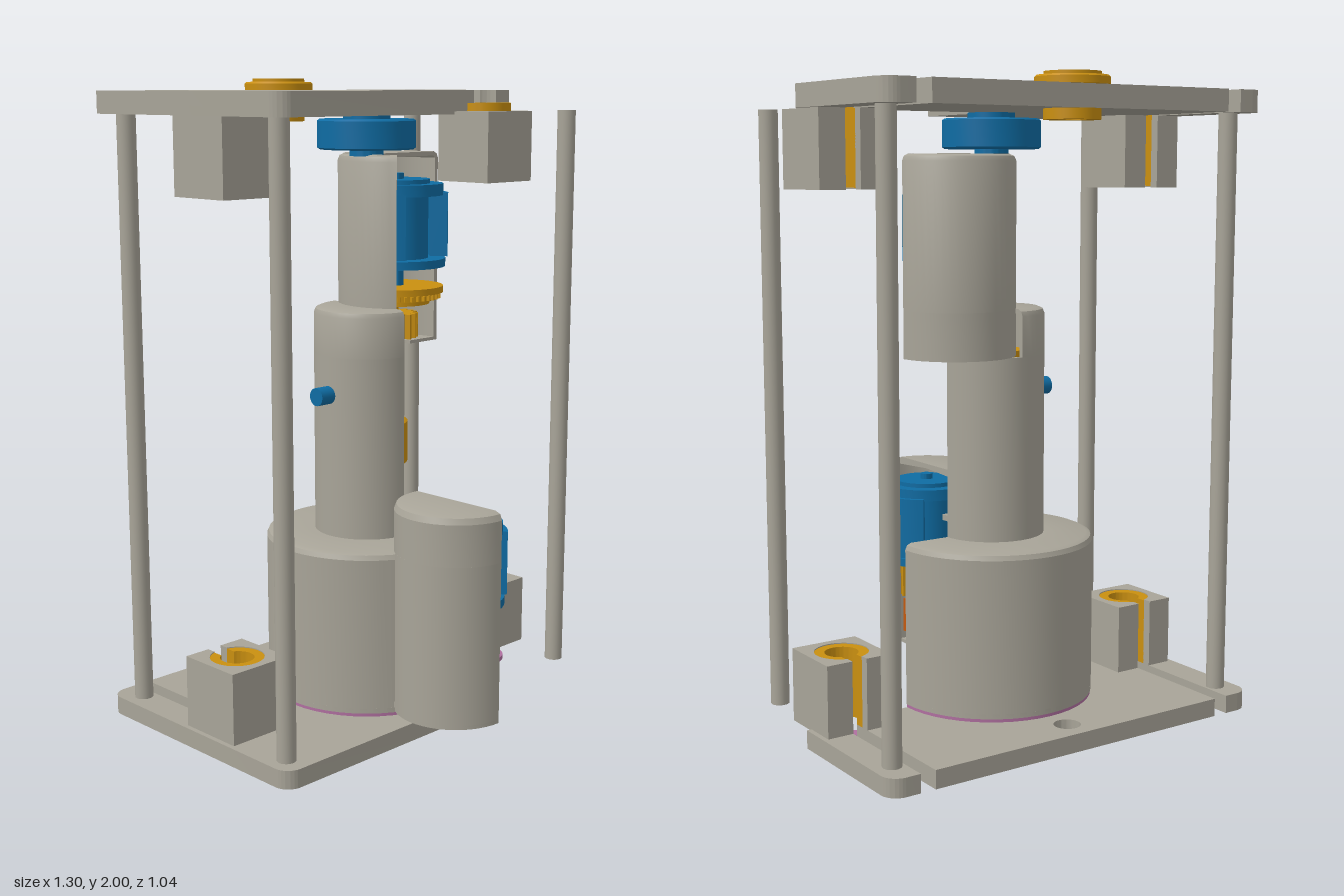
import * as THREE from 'three';
import { toCreasedNormals } from 'three/addons/utils/BufferGeometryUtils.js';

const mat = (color) => new THREE.MeshStandardMaterial({ color, side: THREE.DoubleSide });
const grey = mat(0xa8a498), blue = mat(0x0f6ca3), gold = mat(0xc98f10), orange = mat(0xc2590f), pink = mat(0xb070a0);
const AZ = -0.03; // z of the main axis and of the cutaway plane
const rad = THREE.MathUtils.degToRad;

function add(parent, name, geo, material, x = 0, y = 0, z = 0) {
  const m = new THREE.Mesh(geo, material);
  m.name = name;
  m.position.set(x, y, z);
  parent.add(m);
  return m;
}

// Revolve a closed (radius, height) profile from angle a to b (0 = +z, 90 = +x), closing the cut ends
function turn(parent, name, pts, material, x = 0, z = AZ, a = 0, b = 360) {
  const v = pts.map((p) => new THREE.Vector2(...p));
  const geo = new THREE.LatheGeometry([...v, v[0].clone()], Math.max(8, Math.round((b - a) / 7.5)), rad(a), rad(b - a));
  const g = new THREE.Group();
  g.name = name;
  add(g, name, toCreasedNormals(geo, 0.6), material, x, 0, z);
  if (b - a < 360) for (const end of [a, b])
    add(g, name + 'CutFace', new THREE.ShapeGeometry(new THREE.Shape(v)).rotateY(rad(end - 90)), material, x, 0, z);
  parent.add(g);
  return g;
}
const ring = (r0, r1, y0, y1) => [[r0, y0], [r1, y0], [r1, y1], [r0, y1]];

// Extrude a plan shape, drawn as (x, -z), between two heights
function slab(parent, name, shape, y0, y1, material, x = 0, z = 0) {
  const geo = new THREE.ExtrudeGeometry(shape, { depth: y1 - y0, bevelEnabled: false, curveSegments: 24 }).rotateX(-Math.PI / 2);
  return add(parent, name, toCreasedNormals(geo, 0.5), material, x, y0, z);
}

function gear(parent, name, r, teeth, y0, y1, x, z) {
  const s = new THREE.Shape();
  for (let i = 0; i < teeth * 4; i++) {
    const a = (i + 0.5) / (teeth * 4) * Math.PI * 2, q = i % 4 < 2 ? r : r * 0.84;
    s[i ? 'lineTo' : 'moveTo'](q * Math.cos(a), q * Math.sin(a));
  }
  slab(parent, name, s, y0, y1, gold, x, z);
}

// Plate with two back keyhole slots and the front right quarter left open
function plate(parent, name, y0, y1, bore) {
  const k = 0.49, P = Math.PI, s = new THREE.Shape();
  s.moveTo(0, -0.32);
  if (bore) s.lineTo(0, 0.03 - bore).absarc(0, 0.03, bore, -P / 2, -2 * P, true);
  else s.lineTo(0, 0.035);
  s.lineTo(0.48, 0.035).absarc(0.53, 0.03, 0.05, P, P / 2 + k, true);
  s.lineTo(0.507, 0.5).lineTo(-0.507, 0.5);
  s.absarc(-0.53, 0.03, 0.05, P / 2 - k, k - 1.5 * P, true);
  s.lineTo(-0.554, 0.5).lineTo(-0.6, 0.5).absarc(-0.6, 0.45, 0.05, P / 2, P, false);
  s.lineTo(-0.65, -0.27).absarc(-0.6, -0.27, 0.05, P, 1.5 * P, false);
  s.holes.push(new THREE.Path().absarc(0, 0.42, 0.04, 0, 2 * P, true));
  slab(parent, name, s, y0, y1, grey);
  const t = new THREE.Shape();
  t.moveTo(0.554, 0.5).lineTo(0.6, 0.5).absarc(0.6, 0.45, 0.05, P / 2, 0, true);
  t.lineTo(0.65, 0.035).lineTo(0.58, 0.035).absarc(0.53, 0.03, 0.05, 0, P / 2 - k, false);
  slab(parent, name + 'SideStrip', t, y0, y1, grey);
}

// Slotted bearing block with its split bush
function bearing(parent, x, y0, bushTop) {
  const slotted = (outer, r) => {
    const k = Math.asin(0.0235 / r), s = outer;
    s.absarc(0, 0, r, Math.PI / 2 - k, k - 1.5 * Math.PI, true);
    return s;
  };
  const block = new THREE.Shape();
  block.moveTo(-0.0235, 0.105).lineTo(-0.105, 0.105).lineTo(-0.105, -0.105);
  block.lineTo(0.105, -0.105).lineTo(0.105, 0.105).lineTo(0.0235, 0.105);
  slab(parent, 'bearingBlock', slotted(block, 0.08), y0, y0 + 0.22, grey, x, AZ);
  const bush = new THREE.Shape(), k = Math.asin(0.0235 / 0.081);
  bush.absarc(0, 0, 0.081, Math.PI / 2 + k, 2.5 * Math.PI - k, false);
  slab(parent, 'splitBush', slotted(bush, 0.05), y0 + 0.005, bushTop, gold, x, AZ);
}

// Small electric motor, base at height y
function motor(parent, x, z, y) {
  const g = new THREE.Group();
  g.name = 'motor';
  g.position.set(x, y, z);
  parent.add(g);
  const part = (n, r0, r1, a, b, ...arc) => turn(g, n, ring(r0, r1, a, b), blue, 0, 0, ...arc);
  part('motorBaseFlange', 0, 0.148, 0, 0.025);
  part('motorCore', 0, 0.095, 0.025, 0.22);
  part('motorTopFlange', 0, 0.14, 0.215, 0.25);
  part('motorCap', 0, 0.1, 0.25, 0.263);
  part('motorShaft', 0, 0.02, -0.1, 0.28);
  for (const a of [36, 216]) part('motorMagnet', 0.1, 0.155, 0.03, 0.222, a, a + 108);
}

export function createModel() {
  const g = new THREE.Group();
  g.name = 'cutawayMechanism';

  // Frame
  plate(g, 'topPlate', 1.9, 1.965, 0);
  plate(g, 'bottomPlate', 0.08, 0.135, 0.28);
  for (const x of [-0.59, 0.59]) for (const z of [0.25, -0.41])
    add(g, 'cornerRod', new THREE.CylinderGeometry(0.028, 0.028, 1.78, 24), grey, x, 1.015, z);
  for (const x of [-0.53, 0.53]) {
    bearing(g, x, 1.68, 1.925);
    bearing(g, x, 0.13, 0.347);
    turn(g, 'retainingRing', ring(0.052, 0.085, 0.065, 0.08), pink, x);
  }
  turn(g, 'topCollar', [[0.04, 1.87], [0.08, 1.87], [0.08, 1.965], [0.105, 1.965], [0.105, 1.985],
    [0.1, 1.99], [0.08, 1.99], [0.08, 2], [0.04, 2]], gold, 0, -0.42);

  // Lower drum with floor, open where the side motor housing joins it
  turn(g, 'drumWall', ring(0.295, 0.31, 0.15, 0.62), grey, 0, AZ, 90, 331);
  turn(g, 'drumTop', [[0.15, 0.625], [0.295, 0.62], [0.31, 0.62], [0.304, 0.634], [0.29, 0.64], [0.15, 0.64]], grey, 0, AZ, 90, 360);
  turn(g, 'drumFloor', ring(0.135, 0.31, 0.145, 0.16), grey, 0, AZ, 90, 360);

  // Half housing of the side motor
  const MZ = 0.34;
  turn(g, 'sideHousingLowerWall', ring(0.167, 0.18, 0.15, 0.64), grey, 0, MZ, 237, 360);
  turn(g, 'sideHousingUpperWall', ring(0.167, 0.18, 0.64, 0.765), grey, 0, MZ, 180, 360);
  turn(g, 'sideHousingTop', [[0, 0.775], [0.167, 0.765], [0.18, 0.765], [0.173, 0.783], [0.155, 0.79], [0, 0.79]], grey, 0, MZ, 180, 360);
  turn(g, 'sideHousingFloor', ring(0, 0.18, 0.15, 0.162), grey, 0, MZ, 237, 360);

  // Middle housing tube
  turn(g, 'middleHousingWall', ring(0.145, 0.16, 0.63, 1.19), grey, 0, AZ, 90, 360);
  turn(g, 'middleHousingTop', [[0.145, 1.19], [0.16, 1.19], [0.16, 1.31], [0.154, 1.324], [0.14, 1.33], [0.04, 1.33], [0.04, 1.317], [0.145, 1.317]], grey, 0, AZ, 180, 360);
  add(g, 'sidePeg', new THREE.CylinderGeometry(0.027, 0.027, 0.07, 24).rotateZ(Math.PI / 2), blue, -0.175, 1.075, AZ);

  // Upper housing, set off to one side
  const UX = 0.13;
  turn(g, 'upperHousingLowerWall', ring(0.167, 0.18, 1.19, 1.33), grey, UX, AZ, 90, 240);
  turn(g, 'upperHousingWall', [[0.167, 1.33], [0.18, 1.33], [0.18, 1.76], [0.174, 1.774], [0.16, 1.78], [0.16, 1.767], [0.167, 1.76]], grey, UX, AZ, 90, 314);
  turn(g, 'upperHousingFloor', ring(0.06, 0.175, 1.19, 1.2), grey, UX, AZ, 90, 175);
  const lid = new THREE.Shape(), la = Math.acos(-UX / 0.162);
  lid.moveTo(0, 0).lineTo(UX + 0.162, 0).absarc(UX, 0, 0.162, 0, 2 * Math.PI - la, false);
  slab(g, 'upperHousingTop', lid, 1.767, 1.78, grey, 0, AZ);

  // Top bearing under the plate
  turn(g, 'topBearing', [[0, 1.775], [0.05, 1.775], [0.05, 1.795], [0.14, 1.795], [0.146, 1.8], [0.146, 1.878],
    [0.14, 1.883], [0.07, 1.883], [0.07, 1.9], [0, 1.9]], blue);

  // Upper motor and its gear train
  motor(g, UX, AZ, 1.44);
  turn(g, 'driveDisc', [[0, 1.325], [0.1, 1.325], [0.1, 1.34], [0.125, 1.34], [0.125, 1.36], [0.142, 1.36], [0.142, 1.38], [0, 1.38]], gold, UX);
  gear(g, 'driveDiscTeeth', 0.135, 40, 1.342, 1.358, UX, AZ);
  gear(g, 'upperGear', 0.095, 20, 1.225, 1.3, 0.087, AZ);
  turn(g, 'upperGearShaft', ring(0, 0.035, 1.2, 1.33), gold, 0.087);

  // Main spindle stack
  turn(g, 'mainSpindle', ring(0, 0.035, 0.3, 1.25), gold);
  turn(g, 'spindleFlange', ring(0, 0.095, 1.17, 1.2), gold);
  turn(g, 'spindleBearing', [[0, 1.01], [0.075, 1.01], [0.075, 1.025], [0.11, 1.025], [0.11, 1.15], [0.08, 1.15], [0.08, 1.16], [0, 1.16]], blue);
  turn(g, 'spindleSleeve', [[0, 0.8], [0.1, 0.8], [0.1, 0.83], [0.075, 0.83], [0.075, 0.85], [0.125, 0.85], [0.125, 0.975], [0.11, 0.985], [0, 0.985]], gold);

  // Coil spring
  const coil = [];
  for (let i = 0; i <= 110; i++) {
    const t = i / 110, a = t * Math.PI * 2 * 5;
    coil.push(new THREE.Vector3(0.092 * Math.cos(a), 0.595 + 0.175 * t, 0.092 * Math.sin(a)));
  }
  add(g, 'coilSpring', new THREE.TubeGeometry(new THREE.CatmullRomCurve3(coil), 240, 0.016, 10), orange, 0, 0, AZ);

  // Clutch: hub, flange, ribs, radial ball pins and stop block
  turn(g, 'clutchHub', [[0, 0.36], [0.2, 0.36], [0.2, 0.385], [0.238, 0.385], [0.238, 0.455], [0.16, 0.455],
    [0.16, 0.5], [0.12, 0.5], [0.1, 0.57], [0, 0.57]], orange);
  turn(g, 'clutchBody', ring(0, 0.14, 0.2, 0.37), orange);
  const ribs = new THREE.Group();
  ribs.name = 'clutchRibs';
  ribs.position.z = AZ;
  g.add(ribs);
  for (let i = 0; i < 8; i++) {
    const a = (i + 0.5) * Math.PI / 4;
    add(ribs, 'clutchRib', new THREE.BoxGeometry(0.06, 0.2, 0.05), orange, 0.14 * Math.cos(a), 0.265, -0.14 * Math.sin(a)).rotation.y = a;
  }
  for (let i = 0; i < 3; i++) {
    const a = -rad(18) + i * Math.PI * 2 / 3, c = Math.cos(a), s = -Math.sin(a);
    add(ribs, 'clutchPin', new THREE.CylinderGeometry(0.022, 0.022, 0.15, 16).rotateZ(Math.PI / 2), orange, 0.12 * c, 0.51, 0.12 * s).rotation.y = a;
    add(ribs, 'clutchBall', new THREE.SphereGeometry(0.035, 20, 14), orange, 0.205 * c, 0.51, 0.205 * s);
  }
  add(ribs, 'stopBlock', new THREE.BoxGeometry(0.09, 0.1, 0.09), orange, 0.245, 0.41, 0);

  // Output shaft with two lugs, slotted at the foot
  turn(g, 'outputShaftCore', ring(0, 0.05, 0.02, 0.25), orange);
  for (const a of [20, 140, 260]) turn(g, 'outputShaftLug', ring(0.04, 0.09, 0, 0.25), orange, 0, AZ, a, a + 95);

  // Threaded retainer and base disc, cut open
  const thread = [[0.095, 0.045]];
  for (let i = 0; i < 5; i++) thread.push([0.122, 0.045 + i * 0.018], [0.135, 0.054 + i * 0.018]);
  thread.push([0.122, 0.135], [0.122, 0.2], [0.095, 0.2]);
  turn(g, 'threadedRetainer', thread, pink, 0, AZ, 90, 360);
  turn(g, 'baseDisc', ring(0.11, 0.308, 0.135, 0.146), pink, 0, AZ, 90, 360);

  // Side motor and pinion
  motor(g, 0, MZ, 0.48);
  gear(g, 'sidePinion', 0.1, 20, 0.365, 0.475, 0, MZ);
  return g;
}
